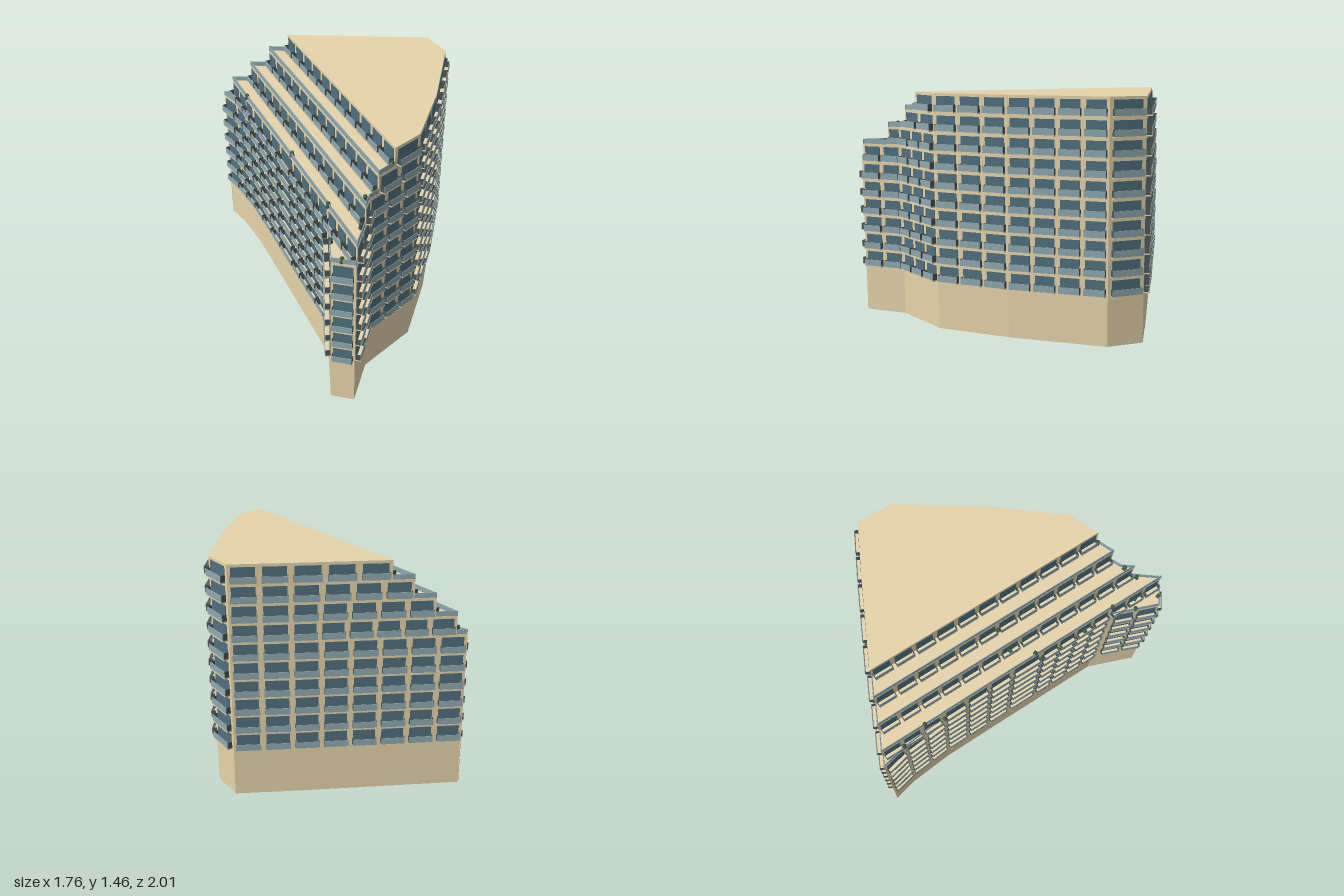
import * as THREE from 'three';
import { mergeGeometries } from 'three/addons/utils/BufferGeometryUtils.js';

const BASE = 0.3, FLOOR = 0.116, FLOORS = 10, FULL = 6;
const mat = (color) => new THREE.MeshStandardMaterial({ color, flatShading: true });

// Footprint corners [x, z, bays along the edge that starts here]
const PLAN = [
  [-0.1, -0.992, 6], [0.612, -0.235, 2], [0.853, 0.03, 1], [0.775, 0.243, 4],
  [0.275, 0.59, 3], [-0.14, 0.825, 3], [-0.54, 0.835, 2], [-0.785, 0.982, 1],
  [-0.86, 0.865, 2], [-0.66, 0.64, 0], [-0.635, 0.61, 4], [-0.455, 0.13, 1],
  [-0.375, -0.08, 3], [-0.205, -0.54, 2], [-0.125, -0.82, 1],
];
// Set-back lines of the four upper floors: x where each one crosses z = 0.83
const SETBACK = [-0.72, -0.595, -0.47, -0.345];
const side = (p, x0) => p.x - x0 + 0.375 * (p.z - 0.83);

function footprint() {
  return PLAN.map(([x, z, bays], i) => {
    const q = PLAN[(i + 1) % PLAN.length];
    return { x, z, bays, full: Math.hypot(q[0] - x, q[1] - z) };
  });
}

function crossing(p, q, x0) {
  const a = side(p, x0), t = a / (a - side(q, x0));
  return { ...p, x: p.x + (q.x - p.x) * t, z: p.z + (q.z - p.z) * t };
}

// Keep the part of the plan east of a set-back line
function clip(poly, x0) {
  const out = [];
  poly.forEach((p, i) => {
    const q = poly[(i + 1) % poly.length];
    const pin = side(p, x0) > 0, qin = side(q, x0) > 0;
    if (pin) out.push(p);
    if (pin !== qin) out.push(pin ? { ...crossing(p, q, x0), bays: 11, full: 1.58 } : crossing(p, q, x0));
  });
  return out;
}

function prism(poly, y0, y1) {
  const shape = new THREE.Shape(poly.map((p) => new THREE.Vector2(p.x, -p.z)));
  const g = new THREE.ExtrudeGeometry(shape, { depth: y1 - y0, bevelEnabled: false });
  return g.rotateX(-Math.PI / 2).translate(0, y0, 0);
}

// Box whose local +z looks out of the wall from p to q; u runs along the wall
function wallBox(p, q, u, y, out, w, h, d) {
  const len = Math.hypot(q.x - p.x, q.z - p.z);
  const dx = (q.x - p.x) / len, dz = (q.z - p.z) / len;
  return new THREE.BoxGeometry(w, h, d).rotateY(Math.atan2(dz, -dx))
    .translate(p.x + dx * u + dz * out, y, p.z + dz * u - dx * out);
}

export function createModel() {
  const model = new THREE.Group();
  const stone = mat(0xe6d4aa), glass = mat(0x50707e), rail = mat(0x8fa9b0);
  const dark = mat(0x4c5656), green = mat(0x3f5f3c);
  const add = (parent, name, geos, material) => {
    if (!geos.length) return;
    const mesh = new THREE.Mesh(geos.length > 1 ? mergeGeometries(geos) : geos[0], material);
    mesh.name = name;
    parent.add(mesh);
  };

  // Plan of every floor
  const full = footprint();
  const plans = Array.from({ length: FLOORS }, (_, f) => (f < FULL ? full : clip(full, SETBACK[f - FULL])));

  // Hollow podium, open underneath
  add(model, 'podiumWalls', full.map((p, i) => {
    const q = full[(i + 1) % full.length];
    return wallBox(p, q, p.full / 2, BASE / 2, -0.002, p.full, BASE, 0.004);
  }), stone);

  // Solid lower block, then the stepped upper floors
  add(model, 'mainBlock', [prism(full, BASE, BASE + FULL * FLOOR)], stone);
  for (let f = FULL; f < FLOORS; f++) {
    add(model, 'steppedFloor', [prism(plans[f], BASE + f * FLOOR, BASE + (f + 1) * FLOOR)], stone);
  }

  plans.forEach((plan, f) => {
    const y = BASE + f * FLOOR;
    const floor = new THREE.Group();
    floor.name = 'floor' + (f + 1);
    const windows = [], slabs = [], rails = [], ends = [], terrace = [];

    plan.forEach((p, i) => {
      const q = plan[(i + 1) % plan.length];
      const len = Math.hypot(q.x - p.x, q.z - p.z);
      if (p.bays && len > 0.07) {
        // Window bays with a balcony each
        const n = Math.max(1, Math.floor((len / p.full) * p.bays + 0.4));
        const bay = len / n, w = bay * 0.78, b = bay * 0.84;
        for (let k = 0; k < n; k++) {
          const u = (k + 0.5) * bay;
          const box = (du, h0, out, sx, sy, sz) => wallBox(p, q, u + du, y + h0, out, sx, sy, sz);
          windows.push(box(0, 0.054, 0, w, 0.09, 0.006));
          slabs.push(box(0, 0.005, 0.016, b, 0.008, 0.034));
          rails.push(box(0, 0.029, 0.031, b, 0.04, 0.003));
          for (const s of [-1, 1]) {
            ends.push(box(s * (b / 2 - 0.001), 0.029, 0.016, 0.002, 0.04, 0.03));
          }
        }
      }
      // Glass parapet round the terrace left by the floor above
      const x0 = SETBACK[f + 1 - FULL];
      if (x0 === undefined) return;
      let a = p, c = q;
      const pin = side(p, x0) > 0, qin = side(q, x0) > 0;
      if (pin && qin) return;
      if (pin) a = crossing(p, q, x0);
      if (qin) c = crossing(p, q, x0);
      const run = Math.hypot(c.x - a.x, c.z - a.z);
      if (run > 0.005) terrace.push(wallBox(a, c, run / 2, y + FLOOR + 0.015, -0.003, run, 0.03, 0.004));
    });

    add(floor, 'windows', windows, glass);
    add(floor, 'balconySlabs', slabs, stone);
    add(floor, 'balconyGlass', rails, rail);
    add(floor, 'balconyEnds', ends, dark);
    add(floor, 'terraceParapet', terrace, rail);
    model.add(floor);
  });

  // Potted shrubs on the terraces
  const spots = [
    [-0.12, -0.82], [-0.16, -0.66], [-0.21, -0.54], [-0.3, 0.01], [-0.18, 0.04], [-0.43, 0.09], [-0.46, 0.13],
    [-0.58, 0.43], [-0.64, 0.62], [-0.75, 0.75], [-0.71, 0.8], [-0.82, 0.91], [-0.65, 0.88], [-0.57, 0.83], [-0.36, 0.82],
  ];
  const pots = [], shrubs = [];
  spots.forEach(([x, z]) => {
    const level = FULL + SETBACK.filter((x0) => side({ x, z }, x0) > 0).length;
    const y = BASE + level * FLOOR;
    pots.push(new THREE.BoxGeometry(0.026, 0.016, 0.016).translate(x, y + 0.008, z));
    shrubs.push(new THREE.IcosahedronGeometry(0.014, 0).translate(x, y + 0.027, z));
  });
  add(model, 'planters', pots, dark);
  add(model, 'shrubs', shrubs, green);
  return model;
}
